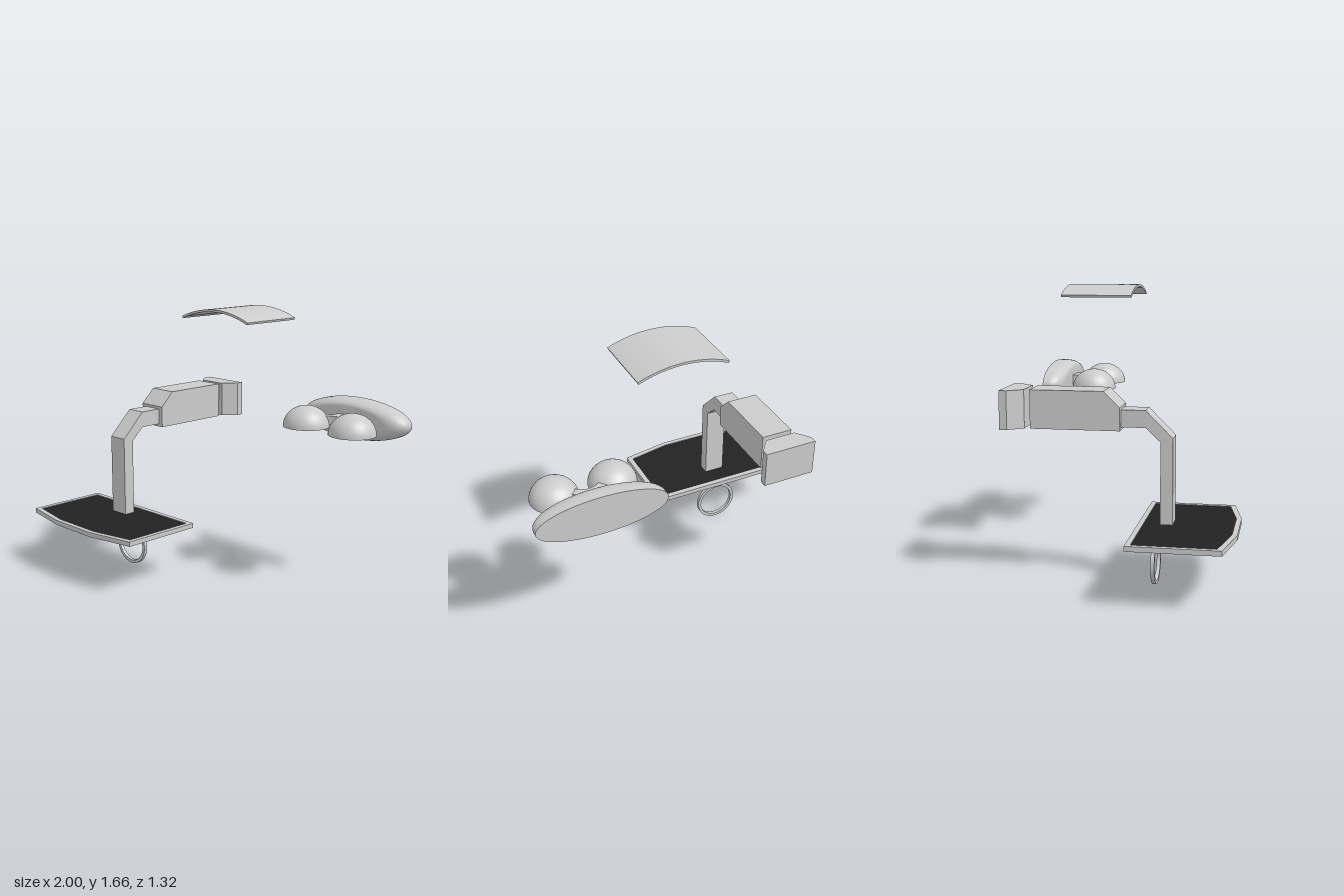
import * as THREE from 'three';
import { toCreasedNormals } from 'three/addons/utils/BufferGeometryUtils.js';

const material = (color) => new THREE.MeshStandardMaterial({ color });
const grey = material(0xcccccc);
const black = material(0x222222);
const navy = material(0x1b1d55);

const polygon = (points) => new THREE.Shape(points.map(([a, b]) => new THREE.Vector2(a, b)));
const crease = (geometry) => toCreasedNormals(geometry, 0.6);

// Extrudes an (x, y) shape, centred on z
function frontExtrude(shape, depth, z) {
  const g = new THREE.ExtrudeGeometry(shape, { depth, bevelEnabled: false, curveSegments: 32 });
  return crease(g.translate(0, 0, z - depth / 2));
}

// Extrudes an (x, z) plan between two heights
function planExtrude(shape, y0, y1) {
  const g = new THREE.ExtrudeGeometry(shape, { depth: y1 - y0, bevelEnabled: false, curveSegments: 16 });
  return crease(g.rotateX(Math.PI / 2).translate(0, y1, 0));
}

// Extrudes a (z, y) side profile, centred on x
function sideExtrude(shape, width, x) {
  const g = new THREE.ExtrudeGeometry(shape, { depth: width, bevelEnabled: false });
  return crease(g.rotateY(-Math.PI / 2).translate(x + width / 2, 0, 0));
}

export function createModel() {
  const model = new THREE.Group();
  const add = (name, geometry, mat = grey, parent = model) => {
    const mesh = new THREE.Mesh(geometry, mat);
    mesh.name = name;
    parent.add(mesh);
    return mesh;
  };
  const cx = -0.527;

  // Backboard: frame, dark panel and target outline underneath
  const outer = [[-1, 0.09], [-0.055, 0.09], [-0.055, 0.6], [-0.36, 0.657], [-0.695, 0.657], [-1, 0.6]];
  const inner = [[-0.97, 0.12], [-0.085, 0.12], [-0.085, 0.572], [-0.36, 0.627], [-0.695, 0.627], [-0.97, 0.572]];
  const frame = polygon(outer);
  frame.holes.push(polygon(inner));
  add('backboardFrame', planExtrude(frame, 0.325, 0.354));
  add('backboardPanel', planExtrude(polygon(inner), 0.328, 0.35), black);

  const target = polygon([[-0.71, 0.225], [-0.345, 0.225], [-0.345, 0.455], [-0.71, 0.455]]);
  target.holes.push(polygon([[-0.685, 0.25], [-0.37, 0.25], [-0.37, 0.43], [-0.685, 0.43]]));
  add('backboardTarget', planExtrude(target, 0.321, 0.329));

  // Hoop and its flared bracket
  const hoop = new THREE.Shape().absarc(cx, 0.134, 0.132, 0, Math.PI * 2);
  hoop.holes.push(new THREE.Path().absarc(cx, 0.134, 0.112, 0, Math.PI * 2, true));
  add('hoop', frontExtrude(hoop, 0.022, 0.187));
  const bracket = polygon([
    [cx - 0.02, 0.258], [cx + 0.02, 0.258], [cx + 0.02, 0.292], [cx + 0.07, 0.316],
    [cx + 0.07, 0.329], [cx - 0.07, 0.329], [cx - 0.07, 0.316], [cx - 0.02, 0.292],
  ]);
  add('hoopBracket', frontExtrude(bracket, 0.02, 0.187));

  // Bent support post
  add('supportPost', sideExtrude(polygon([
    [0.22, 0.362], [0.29, 0.362], [0.29, 0.85], [0.138, 1.002],
    [-0.005, 1.002], [-0.005, 0.905], [0.138, 0.905], [0.22, 0.828],
  ]), 0.125, cx));

  // Arm housing with sloped nose
  add('armHousing', sideExtrude(polygon([
    [0, 0.888], [0, 1.018], [-0.09, 1.106], [-0.508, 1.106], [-0.508, 0.888],
  ]), 0.188, cx));

  // Flared wall mount
  add('wallMount', planExtrude(polygon([
    [-0.62, -0.54], [-0.685, -0.622], [-0.685, -0.665],
    [-0.369, -0.665], [-0.369, -0.622], [-0.434, -0.54],
  ]), 0.888, 1.106));

  // Curved canopy sheet
  const R = 0.7, half = Math.asin(0.273 / R), cy = 1.665 - R;
  const canopy = new THREE.Shape();
  canopy.absarc(0.03, cy, R, Math.PI / 2 - half, Math.PI / 2 + half, false);
  canopy.absarc(0.03, cy, R - 0.014, Math.PI / 2 + half, Math.PI / 2 - half, true);
  add('canopy', frontExtrude(canopy, 0.413, -0.21));

  // Double lamp
  const lamp = new THREE.Group();
  lamp.name = 'doubleLamp';
  model.add(lamp);
  const lampX = 0.617;

  // Oval back plate with rounded front edge
  const profile = [new THREE.Vector2(0, 0), new THREE.Vector2(1, 0)];
  for (let i = 0; i <= 12; i++) {
    const a = (i / 12) * Math.PI / 2;
    profile.push(new THREE.Vector2(0.66 + 0.34 * Math.cos(a), 0.035 + 0.088 * Math.sin(a)));
  }
  profile.push(new THREE.Vector2(0, 0.123));
  const plate = new THREE.LatheGeometry(profile, 64)
    .scale(0.381, 1, 0.124).rotateX(Math.PI / 2).translate(lampX, 1.012, -0.665);
  add('lampBackPlate', crease(plate), grey, lamp);

  // Forked connector
  const fork = new THREE.Shape();
  fork.moveTo(lampX - 0.062, -0.56);
  fork.lineTo(lampX + 0.062, -0.56);
  fork.lineTo(lampX + 0.062, -0.49);
  fork.lineTo(lampX + 0.115, -0.46);
  fork.lineTo(lampX + 0.075, -0.42);
  fork.quadraticCurveTo(lampX, -0.49, lampX - 0.075, -0.42);
  fork.lineTo(lampX - 0.115, -0.46);
  fork.lineTo(lampX - 0.062, -0.49);
  add('lampConnector', planExtrude(fork, 0.98, 1.045), grey, lamp);

  // Domed shades, open at the bottom onto dark lenses
  const dome = [new THREE.Vector2(0.118, 0.012), new THREE.Vector2(0.118, 0), new THREE.Vector2(0.14, 0)];
  for (let i = 1; i <= 16; i++) {
    const a = (i / 16) * Math.PI / 2;
    dome.push(new THREE.Vector2(i === 16 ? 0 : 0.14 * Math.cos(a), 0.126 * Math.sin(a)));
  }
  for (const side of [-1, 1]) {
    const x = lampX + side * 0.172;
    add('lampShade', crease(new THREE.LatheGeometry(dome, 48).translate(x, 0.976, -0.373)), grey, lamp);
    add('lampLens', new THREE.CircleGeometry(0.119, 48).rotateX(Math.PI / 2).translate(x, 0.984, -0.373), navy, lamp);
  }

  return model;
}
